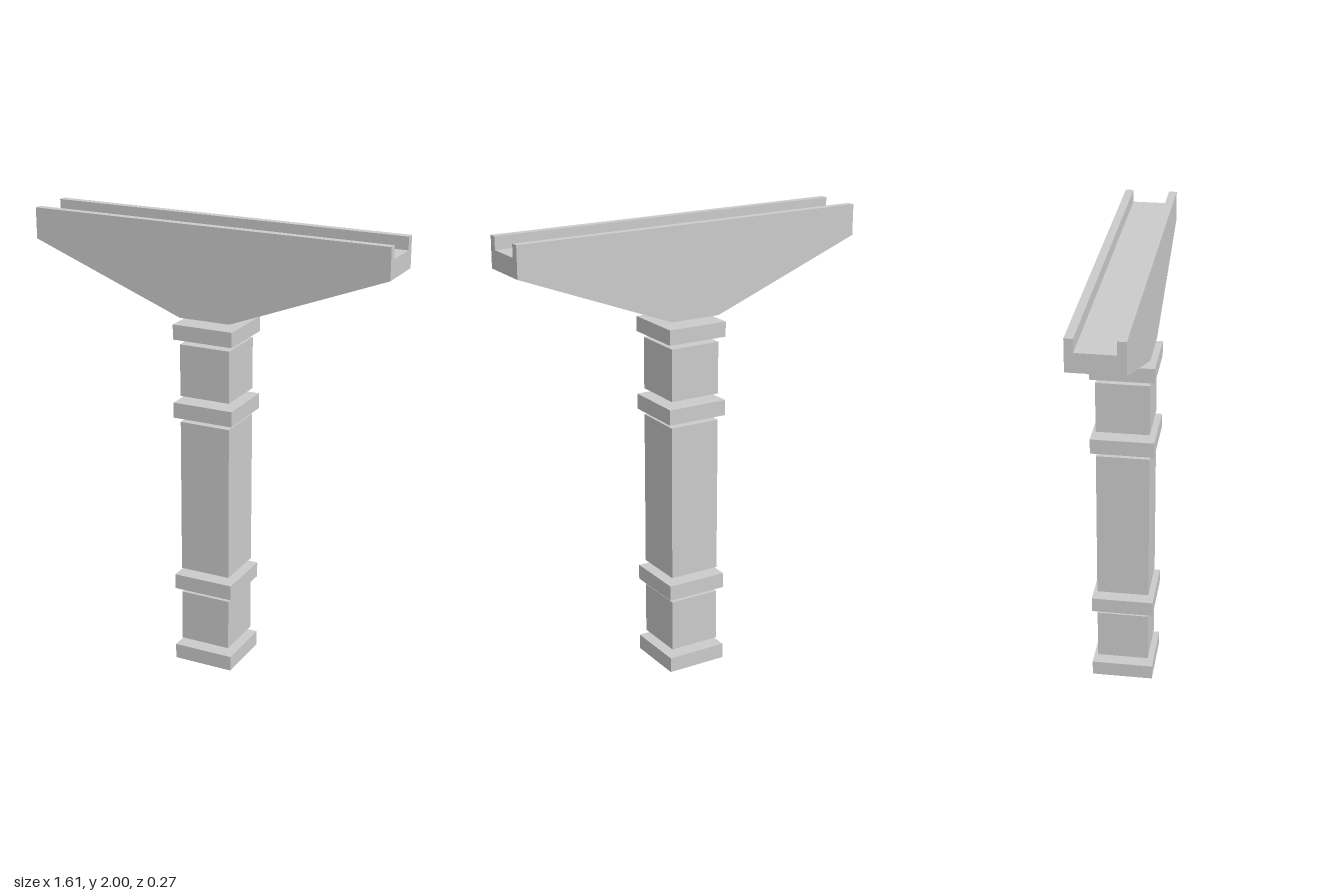
import * as THREE from 'three';

export function createModel() {
  const model = new THREE.Group();
  const material = new THREE.MeshStandardMaterial({ color: 0xcccccc, flatShading: true });

  // Square column blocks, separated by thin shadow gaps: name, half width, bottom, top
  const blocks = [
    ['base', 0.137, 0, 0.068],
    ['lowerShaft', 0.115, 0.097, 0.328],
    ['lowerCollar', 0.137, 0.35, 0.418],
    ['mainShaft', 0.115, 0.445, 1.137],
    ['upperCollar', 0.137, 1.16, 1.228],
    ['upperShaft', 0.115, 1.255, 1.484],
    ['capital', 0.137, 1.508, 1.574],
  ];
  for (const [name, half, bottom, top] of blocks) {
    const block = new THREE.Mesh(new THREE.BoxGeometry(2 * half, top - bottom, 2 * half), material);
    block.name = name;
    block.position.y = (bottom + top) / 2;
    model.add(block);
  }

  // Bracket: a channel section swept along x, deepened over the column
  const endY = 1.865, footY = 1.6, floorY = 1.945, outer = 0.115, inner = 0.08;
  const section = new THREE.Shape([
    [-outer, endY], [outer, endY], [outer, 2], [inner, 2],
    [inner, floorY], [-inner, floorY], [-inner, 2], [-outer, 2],
  ].map(([z, y]) => new THREE.Vector2(z, y)));
  const geometry = new THREE.ExtrudeGeometry(section, { depth: 3, steps: 3, bevelEnabled: false });
  geometry.rotateY(Math.PI / 2);
  const stations = [-0.807, -0.115, 0.115, 0.807];
  const position = geometry.attributes.position;
  for (let i = 0; i < position.count; i++) {
    const station = Math.round(position.getX(i));
    position.setX(i, stations[station]);
    const overColumn = station === 1 || station === 2;
    if (overColumn && position.getY(i) < endY + 0.01) position.setY(i, footY);
  }
  geometry.computeVertexNormals();
  const bracket = new THREE.Mesh(geometry, material);
  bracket.name = 'channelBracket';
  model.add(bracket);

  return model;
}
